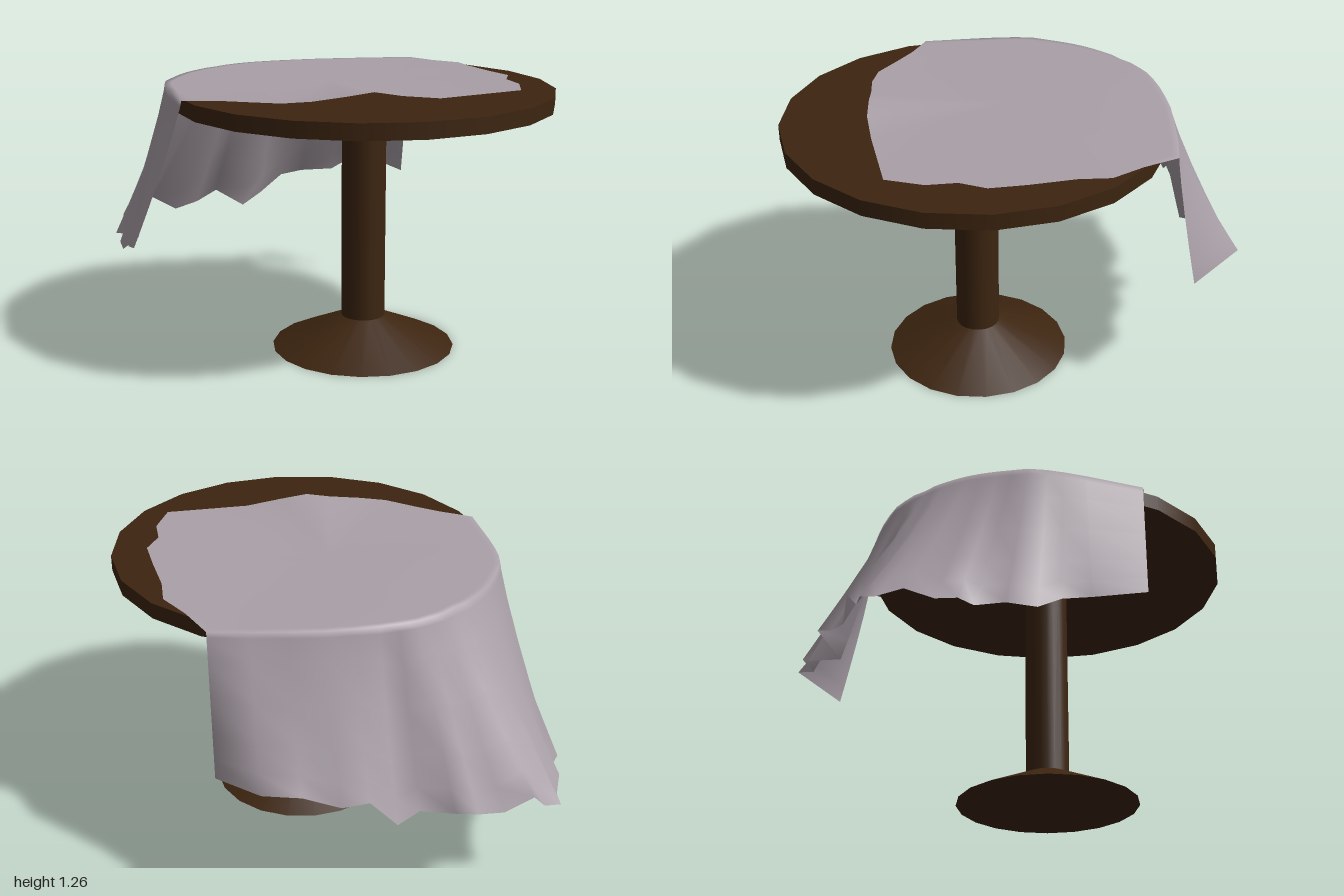
import * as THREE from 'three';

const CX = 0.105, CZ = 0.155; // table axis

// Free cloth edge lying on the table: x, y, z (front left to back right)
const FLAT = [
  [-0.6, 1.222, 0.4], [-0.5, 1.224, 0.47], [-0.37, 1.228, 0.565], [-0.25, 1.235, 0.595],
  [-0.1, 1.25, 0.6], [0.01, 1.265, 0.61], [0.13, 1.245, 0.62], [0.3, 1.225, 0.605],
  [0.68, 1.235, 0.56], [0.74, 1.235, 0.4], [0.735, 1.235, 0.27], [0.79, 1.235, 0.16],
  [0.77, 1.23, 0], [0.74, 1.228, -0.2], [0.74, 1.225, -0.34], [0.655, 1.22, -0.48],
];

// Hanging cloth: hem x, y, z, then x, z of the fold above it (back right to front left)
const HANG = [
  [0.585, 0.595, -0.75, 0.585, -0.64], [0.42, 0.65, -0.98, 0.42, -0.67],
  [0.25, 0.585, -0.93, 0.27, -0.69], [0.1, 0.57, -1, 0.12, -0.705],
  [-0.02, 0.56, -0.97, 0, -0.705], [-0.13, 0.46, -1, -0.1, -0.7],
  [-0.25, 0.43, -0.88, -0.18, -0.69], [-0.37, 0.49, -1, -0.26, -0.675],
  [-0.48, 0.445, -0.96, -0.32, -0.65], [-0.6, 0.42, -0.93, -0.38, -0.62],
  [-0.72, 0.49, -0.94, -0.43, -0.58], [-0.78, 0.42, -0.91, -0.48, -0.55],
  [-0.85, 0.42, -0.91, -0.52, -0.515], [-0.85, 0.43, -0.85, -0.56, -0.475],
  [-0.89, 0.46, -0.75, -0.6, -0.43], [-0.9, 0.43, -0.63, -0.635, -0.38],
  [-0.95, 0.42, -0.55, -0.67, -0.32], [-0.89, 0.43, -0.47, -0.7, -0.26],
  [-0.95, 0.43, -0.36, -0.73, -0.2], [-0.95, 0.43, -0.23, -0.745, -0.12],
  [-0.89, 0.515, -0.11, -0.75, -0.04], [-0.95, 0.51, 0, -0.75, 0.06],
  [-0.95, 0.57, 0.24, -0.74, 0.33],
];

// One smooth sheet: rings on the table top, then rows falling from the fold to the hem
function clothGeometry() {
  const rim = [...FLAT, ...HANG.map(h => [h[3], 1.216, h[4]])];
  const n = rim.length, rings = [0.3, 0.6, 0.85, 0.96, 1];
  const falls = [0.04, 0.2, 0.45, 0.7, 0.87, 1];
  const pos = [0, 1.222, 0], index = [];
  const quad = (a, b, c, d) => index.push(a, b, c, a, c, d);

  for (const f of rings) {
    for (const [x, y, z] of rim) pos.push(x * f, 1.222 + (y - 1.222) * f * f, z * f);
  }
  for (let i = 0; i < n; i++) {
    const j = (i + 1) % n;
    index.push(0, 1 + i, 1 + j);
    for (let r = 0; r < rings.length - 1; r++) {
      const a = 1 + r * n, b = a + n;
      quad(a + i, b + i, b + j, a + j);
    }
  }

  const m = HANG.length;
  let above = 1 + (rings.length - 1) * n + FLAT.length;
  for (const s of falls) {
    const row = pos.length / 3, out = Math.pow(s, 1.15);
    for (const [x, y, z, rx, rz] of HANG) {
      pos.push(rx + (x - rx) * out, 1.216 + (y - 1.216) * s, rz + (z - rz) * out);
    }
    for (let i = 0; i < m - 1; i++) quad(above + i, row + i, row + i + 1, above + i + 1);
    above = row;
  }

  const geo = new THREE.BufferGeometry();
  geo.setAttribute('position', new THREE.Float32BufferAttribute(pos, 3));
  geo.setIndex(index);
  geo.computeVertexNormals();
  return geo;
}

export function createModel() {
  const wood = new THREE.MeshStandardMaterial({ color: 0x3d2510 });
  wood.name = 'dark wood';
  const linen = new THREE.MeshStandardMaterial({ color: 0xaaa0a8, side: THREE.DoubleSide });
  linen.name = 'grey linen';

  const group = new THREE.Group();
  group.name = 'tableWithCloth';

  // Round wooden parts share one axis
  const round = (name, rTop, rBottom, y0, y1) => {
    const mesh = new THREE.Mesh(new THREE.CylinderGeometry(rTop, rBottom, y1 - y0, 20), wood);
    mesh.name = name;
    mesh.position.set(CX, (y0 + y1) / 2, CZ);
    group.add(mesh);
  };
  round('foot', 0.1, 0.42, 0, 0.145);
  round('column', 0.1, 0.1, 0.145, 1.14);
  round('tableTop', 0.845, 0.845, 1.14, 1.21);

  const cloth = new THREE.Mesh(clothGeometry(), linen);
  cloth.name = 'tablecloth';
  group.add(cloth);
  return group;
}
